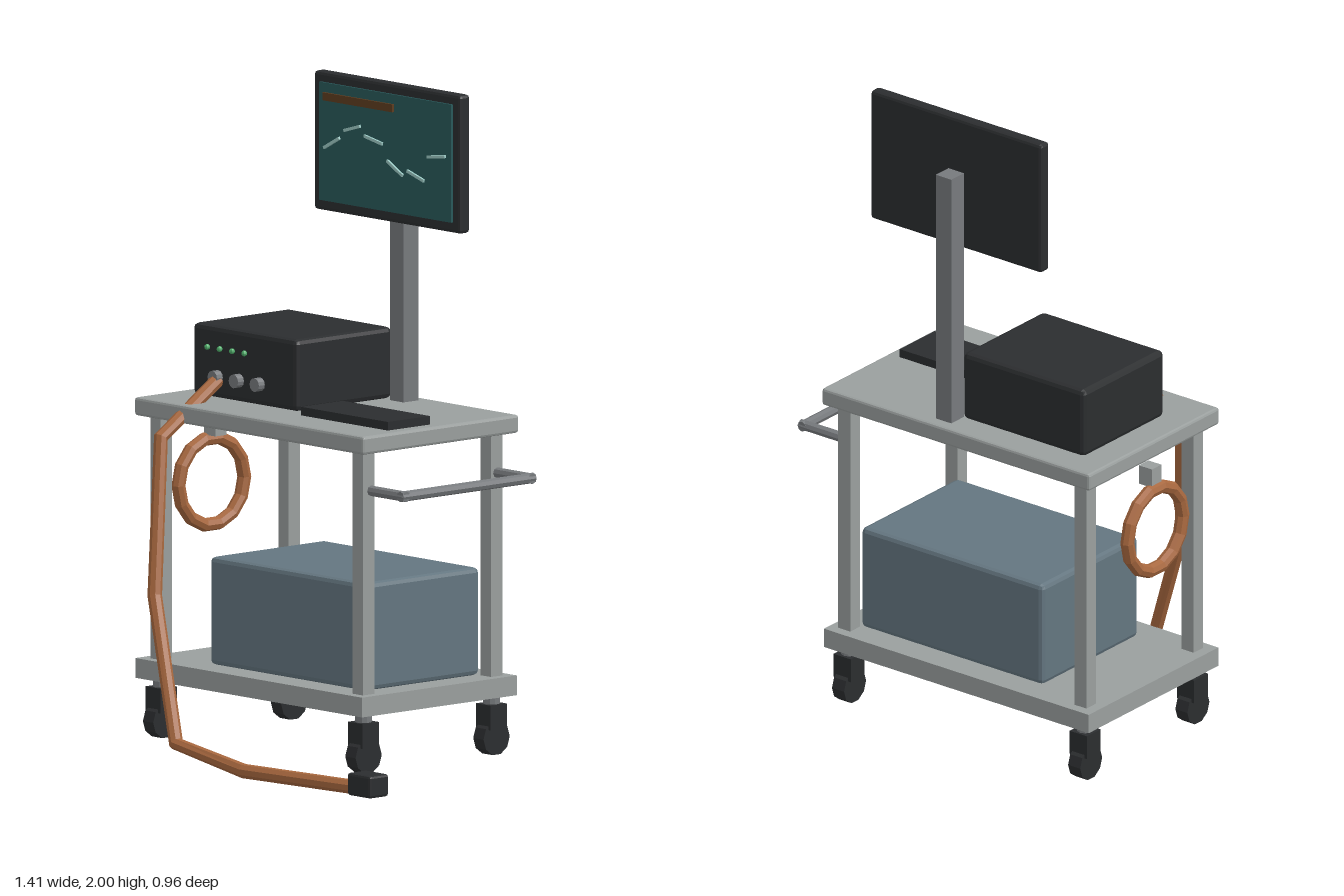
import * as THREE from 'three';
import { RoundedBoxGeometry } from 'three/addons/geometries/RoundedBoxGeometry.js';

const mat = (color) => new THREE.MeshStandardMaterial({ color, flatShading: true });

// Straight-sided path whose rings sit exactly on the given points
class Polyline extends THREE.Curve {
  constructor(points) {
    super();
    this.points = points.map((p) => new THREE.Vector3(...p));
  }
  getPoint(u, target = new THREE.Vector3()) {
    const n = this.points.length - 1;
    const i = Math.min(Math.floor(u * n + 1e-6), n - 1);
    return target.lerpVectors(this.points[i], this.points[i + 1], u * n - i);
  }
  getPointAt(u, target) { return this.getPoint(u, target); }
  getTangentAt(u, target = new THREE.Vector3()) {
    const p = this.points, n = p.length - 1, i = Math.round(u * n);
    target.set(0, 0, 0);
    if (i > 0) target.add(p[i].clone().sub(p[i - 1]).normalize());
    if (i < n) target.add(p[i + 1].clone().sub(p[i]).normalize());
    return target.normalize();
  }
}

export function createModel() {
  const model = new THREE.Group();
  const frame = mat(0x9a9f9e), steel = mat(0x777a7d), dark = mat(0x2b2d2f), crate = mat(0x647680);
  const copper = mat(0xa8683f), teal = mat(0x28595a), green = mat(0x4fae6a), trace = mat(0x9cc9c4), brown = mat(0x5e3d20);

  const add = (name, geometry, material, x = 0, y = 0, z = 0, parent = model) => {
    const mesh = new THREE.Mesh(geometry, material);
    mesh.name = name;
    mesh.position.set(x, y, z);
    parent.add(mesh);
    return mesh;
  };
  // Box from its limits on each axis, with an optional chamfer
  const box = (name, material, [x0, x1], [y0, y1], [z0, z1], bevel = 0, parent = model) => {
    const size = [x1 - x0, y1 - y0, z1 - z0];
    const geometry = bevel ? new RoundedBoxGeometry(...size, 1, bevel) : new THREE.BoxGeometry(...size);
    return add(name, geometry, material, (x0 + x1) / 2, (y0 + y1) / 2, (z0 + z1) / 2, parent);
  };
  // Cylinder between two points
  const rod = (name, material, a, b, r, sides, parent = model) => {
    const p = new THREE.Vector3(...a), q = new THREE.Vector3(...b);
    const mesh = add(name, new THREE.CylinderGeometry(r, r, p.distanceTo(q), sides), material, 0, 0, 0, parent);
    mesh.position.copy(p).add(q).multiplyScalar(0.5);
    mesh.quaternion.setFromUnitVectors(new THREE.Vector3(0, 1, 0), q.sub(p).normalize());
    return mesh;
  };

  // Cart shelves
  box('tabletop', frame, [-0.685, 0.335], [0.975, 1.03], [-0.48, 0.15], 0.008);
  box('lowerShelf', frame, [-0.68, 0.33], [0.18, 0.24], [-0.475, 0.15]);

  // Corner posts and casters
  for (const x of [-0.623, 0.278]) {
    for (const z of [-0.42, 0.097]) {
      box('post', frame, [x - 0.023, x + 0.023], [0.24, 0.978], [z - 0.023, z + 0.023]);
      const caster = new THREE.Group();
      caster.name = 'caster';
      caster.position.set(x, 0, z);
      model.add(caster);
      rod('casterStem', steel, [0, 0.15, 0], [0, 0.185, 0], 0.025, 10, caster);
      box('casterFork', dark, [-0.033, 0.033], [0.08, 0.155], [-0.033, 0.033], 0, caster);
      rod('casterWheel', dark, [-0.023, 0.053, 0], [0.023, 0.053, 0], 0.053, 10, caster);
    }
  }

  // Push handle
  const hy = 0.857, hx = 0.446, zs = [-0.422, 0.087];
  for (const z of zs) {
    rod('handleArm', steel, [0.28, hy, z], [hx + 0.013, hy, z], 0.016, 8);
  }
  rod('handleGrip', steel, [hx, hy, zs[0] - 0.014], [hx, hy, zs[1] + 0.014], 0.016, 8);

  // Storage case on the lower shelf
  box('storageCase', crate, [-0.442, 0.252], [0.24, 0.567], [-0.397, 0.067], 0.015);

  // Control unit with lights and sockets
  box('controlUnit', dark, [-0.6, -0.137], [1.033, 1.25], [-0.397, -0.008], 0.015);
  for (let i = 0; i < 4; i++) {
    add('indicatorLight', new THREE.SphereGeometry(0.009, 8, 6), green, -0.525 + i * 0.055, 1.185, 0);
  }
  for (const x of [-0.485, -0.391, -0.298]) {
    rod('socket', steel, [x, 1.098, -0.02], [x, 1.098, 0.016], 0.021, 12);
  }

  // Keyboard
  box('keyboard', dark, [-0.095, 0.292], [1.03, 1.056], [-0.158, 0.011]);

  // Mast and monitor
  box('mast', steel, [-0.128, -0.069], [1.03, 1.83], [-0.44, -0.379]);
  box('monitorMount', steel, [-0.125, -0.072], [1.74, 1.81], [-0.385, -0.37]);
  box('monitor', dark, [-0.42, 0.232], [1.58, 2], [-0.376, -0.335], 0.01);
  box('screen', teal, [-0.388, 0.2], [1.612, 1.97], [-0.338, -0.328]);
  box('screenBanner', brown, [-0.366, -0.055], [1.917, 1.941], [-0.33, -0.321]);

  // Trace strokes on the screen
  const strokes = [
    [-0.363, 1.773, -0.294, 1.81], [-0.273, 1.836, -0.202, 1.857], [-0.183, 1.83, -0.103, 1.815],
    [-0.082, 1.767, -0.013, 1.73], [0.008, 1.747, 0.082, 1.725], [0.098, 1.8, 0.177, 1.81],
  ];
  for (const [x0, y0, x1, y1] of strokes) {
    const bar = add('screenTrace', new THREE.BoxGeometry(Math.hypot(x1 - x0, y1 - y0), 0.009, 0.008),
      trace, (x0 + x1) / 2, (y0 + y1) / 2, -0.325);
    bar.rotation.z = Math.atan2(y1 - y0, x1 - x0);
  }

  // Cable running from the control unit to the floor, with its plug
  const path = new Polyline([
    [-0.483, 1.09, -0.005], [-0.483, 0.94, 0.225], [-0.408, 0.48, 0.318],
    [-0.25, 0.056, 0.375], [0.14, 0.028, 0.455], [0.63, 0.03, 0.417],
  ]);
  add('cable', new THREE.TubeGeometry(path, 5, 0.022, 8, false), copper);
  box('cablePlug', dark, [0.6, 0.702], [0.01, 0.078], [0.379, 0.456], 0.008);

  // Spare cable coil on its hook
  const coil = add('cableCoil', new THREE.TorusGeometry(0.133, 0.021, 8, 14), copper, -0.685, 0.742, -0.162);
  coil.rotation.y = Math.PI / 2;
  box('coilHook', frame, [-0.69, -0.64], [0.885, 0.945], [-0.183, -0.137]);

  return model;
}
